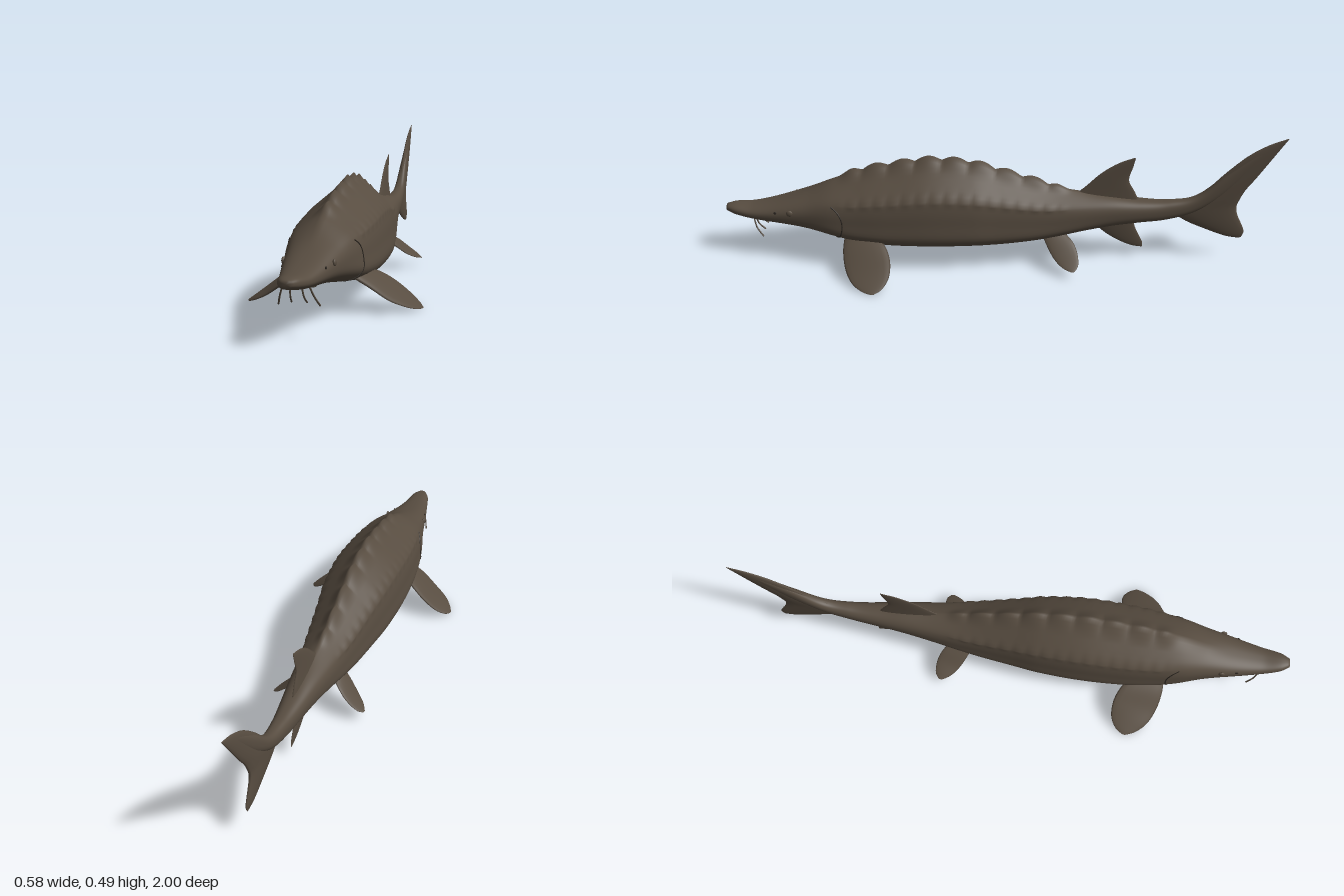
import * as THREE from 'three';

const skin = new THREE.MeshStandardMaterial({ color: 0x574c40, side: THREE.DoubleSide });
skin.name = 'brownSkin';
const crease = new THREE.MeshStandardMaterial({ color: 0x2e2822 });
crease.name = 'darkCrease';

// Body stations from snout to tail: z, half width, top y, bottom y
const STATIONS = [
  [1, 0.016, 0.19, 0.168], [0.97, 0.033, 0.195, 0.158], [0.9, 0.05, 0.195, 0.145],
  [0.8, 0.072, 0.217, 0.134], [0.7, 0.093, 0.254, 0.122], [0.6, 0.118, 0.305, 0.105],
  [0.5, 0.132, 0.34, 0.09], [0.4, 0.14, 0.362, 0.08], [0.25, 0.142, 0.385, 0.077],
  [0.1, 0.131, 0.374, 0.078], [0, 0.115, 0.346, 0.081], [-0.1, 0.1, 0.315, 0.09],
  [-0.2, 0.085, 0.285, 0.104], [-0.3, 0.07, 0.264, 0.122], [-0.4, 0.056, 0.25, 0.138],
  [-0.5, 0.043, 0.237, 0.15], [-0.6, 0.031, 0.235, 0.162], [-0.7, 0.022, 0.256, 0.195],
  [-0.8, 0.015, 0.345, 0.27], [-0.9, 0.008, 0.43, 0.385], [-0.96, 0.003, 0.465, 0.445],
];

// Trunk half section from back ridge to belly, as fractions of width and height
const TRUNK = new THREE.CatmullRomCurve3([
  [0, 1], [0.42, 0.85], [0.84, 0.66], [0.93, 0.52], [0.97, 0.36], [1, 0.18],
  [0.82, 0.06], [0.45, 0.01], [0, 0],
].map(([x, y]) => new THREE.Vector3(x, y, 0)));

// Smooth interpolation of one station column at z
function station(z, col) {
  const S = STATIONS, n = S.length;
  let i = 0;
  while (i < n - 2 && z < S[i + 1][0]) i++;
  const slope = (k) => {
    const a = S[Math.max(k - 1, 0)], b = S[Math.min(k + 1, n - 1)];
    return (b[col] - a[col]) / (b[0] - a[0]);
  };
  const h = S[i + 1][0] - S[i][0], t = (z - S[i][0]) / h, t2 = t * t, t3 = t2 * t;
  return (2 * t3 - 3 * t2 + 1) * S[i][col] + (t3 - 2 * t2 + t) * h * slope(i)
    + (3 * t2 - 2 * t3) * S[i + 1][col] + (t3 - t2) * h * slope(i + 1);
}

// Point on the left flank: u = 0 on the back ridge, 1 on the belly
function flank(z, u) {
  const w = station(z, 1), top = station(z, 2), bottom = station(z, 3);
  const k = THREE.MathUtils.smoothstep(z, -0.5, -0.1) * (1 - THREE.MathUtils.smoothstep(z, 0.5, 0.8));
  const a = Math.PI * u, p = TRUNK.getPoint(u);
  const round = (v) => Math.sign(v) * Math.abs(v) ** 0.85;
  let x = w * THREE.MathUtils.lerp(round(Math.sin(a)), p.x, k);
  let y = bottom + (top - bottom) * THREE.MathUtils.lerp(0.5 + 0.5 * round(Math.cos(a)), p.y, k);
  // Scalloped plates along the back and smaller ones along the shoulder
  const row = THREE.MathUtils.smoothstep(z, -0.26, -0.18) * (1 - THREE.MathUtils.smoothstep(z, 0.52, 0.6));
  y += 0.017 * row * Math.abs(Math.sin(Math.PI * (z - 0.02) / 0.095)) * Math.max(0, 1 - u / 0.09);
  x += 0.005 * row * Math.abs(Math.sin(Math.PI * z / 0.05)) * Math.max(0, 1 - Math.abs(u - 0.25) / 0.06);
  return new THREE.Vector3(x, y, z);
}

// Closed rings joined into one smooth surface
function skinRings(rings) {
  const n = rings[0].length, index = [];
  for (let i = 0; i < rings.length - 1; i++) {
    for (let j = 0; j < n; j++) {
      const a = i * n + j, b = i * n + (j + 1) % n;
      index.push(a, b, a + n, b, b + n, a + n);
    }
  }
  const g = new THREE.BufferGeometry().setFromPoints(rings.flat());
  g.setIndex(index);
  g.computeVertexNormals();
  return g;
}

function bodyGeometry() {
  const half = 32, steps = 220, rings = [];
  for (let i = 0; i <= steps; i++) {
    const z = 1 - 1.96 * i / steps, ring = [];
    for (let j = 0; j < 2 * half; j++) {
      const p = flank(z, (j <= half ? j : 2 * half - j) / half);
      if (j > half) p.x *= -1;
      ring.push(p);
    }
    rings.push(ring);
  }
  // Close the snout and the tail
  const close = (ring) => {
    const c = ring[0].clone().lerp(ring[half], 0.5);
    return ring.map(() => c.clone());
  };
  return skinRings([close(rings[0]), ...rings, close(rings[steps])]);
}

// Fin with a lens section, lofted between a leading and a trailing edge
function finGeometry(lead, trail, normal, thickness) {
  const curve = (pts) => new THREE.CatmullRomCurve3(pts.map((p) => new THREE.Vector3(...p)));
  const A = curve(lead), B = curve(trail), N = new THREE.Vector3(...normal).normalize();
  const rings = [];
  for (let i = 0; i <= 28; i++) {
    const v = i / 28, a = A.getPoint(v), b = B.getPoint(v), ring = [];
    for (let j = 0; j < 16; j++) {
      const t = j / 16 * Math.PI * 2;
      ring.push(a.clone().lerp(b, (1 - Math.cos(t)) / 2).addScaledVector(N, Math.sin(t) * thickness(v)));
    }
    rings.push(ring);
  }
  return skinRings(rings);
}

export function createModel() {
  const model = new THREE.Group();
  model.name = 'sturgeon';
  const add = (parent, name, geometry, material = skin) => {
    const mesh = new THREE.Mesh(geometry, material);
    mesh.name = name;
    parent.add(mesh);
    return mesh;
  };
  const tube = (pts, r) => new THREE.TubeGeometry(new THREE.CatmullRomCurve3(pts), 16, r, 6);
  const flat = (pts) => pts.map(([z, y]) => [0, y, z]);

  add(model, 'body', bodyGeometry());

  // Middle fins
  add(model, 'dorsalFin', finGeometry(
    flat([[-0.26, 0.25], [-0.3, 0.285], [-0.36, 0.345], [-0.42, 0.385], [-0.47, 0.405]]),
    flat([[-0.5, 0.225], [-0.478, 0.27], [-0.456, 0.315], [-0.468, 0.37], [-0.475, 0.403]]),
    [1, 0, 0], (v) => 0.008 * (1 - v) + 0.001));
  add(model, 'analFin', finGeometry(
    flat([[-0.33, 0.15], [-0.37, 0.105], [-0.42, 0.07], [-0.48, 0.043], [-0.515, 0.038]]),
    flat([[-0.48, 0.16], [-0.487, 0.125], [-0.5, 0.095], [-0.517, 0.06], [-0.52, 0.04]]),
    [1, 0, 0], (v) => 0.007 * (1 - v) + 0.001));
  add(model, 'tailFin', finGeometry(
    flat([[-0.86, 0.084], [-0.82, 0.09], [-0.74, 0.12], [-0.66, 0.157], [-0.61, 0.2], [-0.66, 0.238],
      [-0.72, 0.268], [-0.79, 0.345], [-0.87, 0.422], [-0.94, 0.466], [-0.998, 0.489]]),
    flat([[-0.875, 0.086], [-0.883, 0.11], [-0.868, 0.148], [-0.852, 0.182], [-0.846, 0.215], [-0.855, 0.245],
      [-0.87, 0.28], [-0.903, 0.33], [-0.94, 0.39], [-0.973, 0.444], [-1, 0.488]]),
    [1, 0, 0], (v) => 0.012 * Math.sin(Math.PI * v) + 0.001));

  // Paired parts
  for (const s of [1, -1]) {
    const side = new THREE.Group();
    side.name = s > 0 ? 'leftSide' : 'rightSide';
    side.scale.x = s;
    model.add(side);

    add(side, 'pectoralFin', finGeometry(
      [[0.09, 0.115, 0.56], [0.14, 0.085, 0.56], [0.2, 0.042, 0.545], [0.25, 0.017, 0.515], [0.28, 0.004, 0.475], [0.291, 0.001, 0.445]],
      [[0.1, 0.125, 0.44], [0.145, 0.105, 0.405], [0.19, 0.076, 0.386], [0.24, 0.038, 0.387], [0.275, 0.012, 0.41], [0.29, 0.002, 0.435]],
      [0.55, 0.83, 0], (v) => 0.012 * (1 - v) + 0.001));
    add(side, 'pelvicFin', finGeometry(
      [[0.055, 0.115, -0.15], [0.09, 0.085, -0.17], [0.125, 0.055, -0.195], [0.155, 0.038, -0.225], [0.171, 0.031, -0.255]],
      [[0.05, 0.12, -0.235], [0.08, 0.1, -0.262], [0.11, 0.075, -0.277], [0.15, 0.045, -0.28], [0.169, 0.032, -0.268]],
      [0.5, 0.86, 0], (v) => 0.008 * (1 - v) + 0.001));

    // Gill cover edge, curving over the flank
    const gill = [];
    for (let i = 0; i <= 8; i++) {
      const u = 0.28 + 0.56 * i / 8;
      gill.push(flank(0.6 - 0.04 * Math.sin(Math.PI * (i / 8) ** 0.8), u));
    }
    add(side, 'gillSlit', tube(gill, 0.0025), crease);

    // Eye and nostril
    const eye = add(side, 'eye', new THREE.SphereGeometry(0.012, 16, 12));
    eye.position.copy(flank(0.755, 0.4));
    eye.scale.x = 0.5;
    const nostril = add(side, 'nostril', new THREE.SphereGeometry(0.006, 12, 8), crease);
    nostril.position.copy(flank(0.81, 0.38));
    nostril.scale.x = 0.4;

    // Barbels under the snout
    for (const [x0, x1, tip] of [[0.017, 0.023, 0.1], [0.04, 0.062, 0.092]]) {
      add(side, 'barbel', tube([
        new THREE.Vector3(x0, 0.152, 0.895),
        new THREE.Vector3((x0 + x1) / 2, 0.122, 0.885),
        new THREE.Vector3(x1, tip, 0.862),
      ], 0.0028));
    }
  }

  // Mouth on the underside of the head
  const mouth = add(model, 'mouth', new THREE.TorusGeometry(0.026, 0.005, 8, 24));
  mouth.rotation.x = Math.PI / 2;
  mouth.scale.y = 0.6;
  mouth.position.set(0, 0.133, 0.78);
  return model;
}
